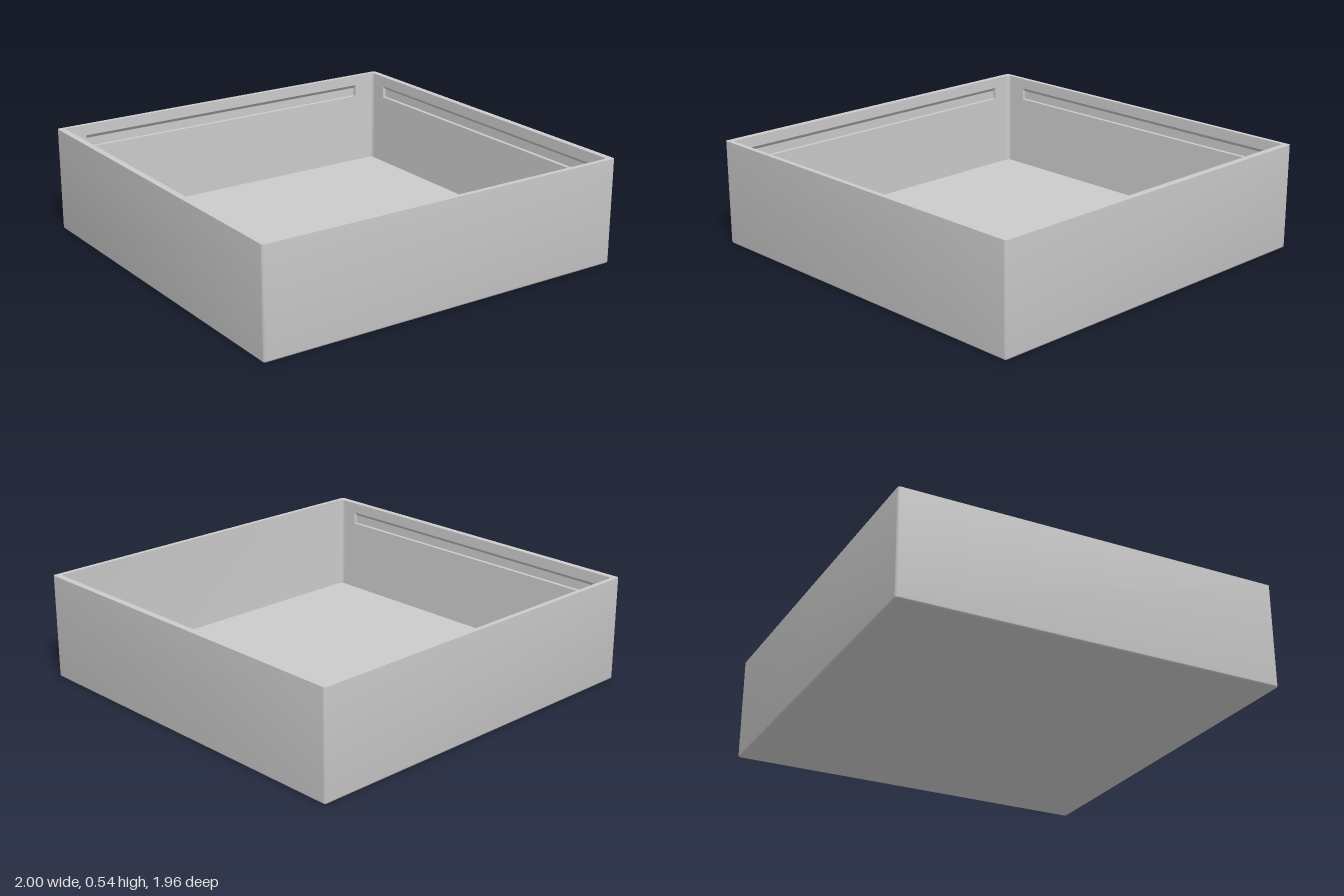
import * as THREE from 'three';
import { toCreasedNormals } from 'three/addons/utils/BufferGeometryUtils.js';

const HX = 1, HZ = 0.98, H = 0.54;          // outer half sizes and height
const IX = 0.967, IZ = 0.955, FLOOR = 0.035; // inner half sizes and floor level
const INNER_R = 0.02, OUTER_R = 0.012;
const STEPS = 4;                             // segments per rounded corner

// Rounded rectangle, counter-clockwise, at height z
function roundedRing(hx, hy, r, z) {
  const ring = [];
  [[1, 1], [-1, 1], [-1, -1], [1, -1]].forEach(([sx, sy], c) => {
    for (let i = 0; i <= STEPS; i++) {
      const a = (c + i / STEPS) * Math.PI / 2;
      ring.push([sx * (hx - r) + r * Math.cos(a), sy * (hy - r) + r * Math.sin(a), z]);
    }
  });
  return ring;
}

// Joins closed rings, with optional caps and skipped faces
function loft(rings, { startCap = false, endCap = false, skip = () => false } = {}) {
  const pos = [];
  const tri = (a, b, c) => pos.push(...a, ...b, ...c);
  const n = rings[0].length;
  for (let i = 0; i < rings.length - 1; i++) {
    for (let j = 0; j < n; j++) {
      if (skip(i, j)) continue;
      const k = (j + 1) % n, a = rings[i], b = rings[i + 1];
      tri(a[j], a[k], b[k]);
      tri(a[j], b[k], b[j]);
    }
  }
  const first = rings[0], last = rings[rings.length - 1];
  for (let j = 1; j < n - 1; j++) {
    if (startCap) tri(first[0], first[j + 1], first[j]);
    if (endCap) tri(last[0], last[j], last[j + 1]);
  }
  const g = new THREE.BufferGeometry();
  g.setAttribute('position', new THREE.Float32BufferAttribute(pos, 3));
  return toCreasedNormals(g, 0.6);
}

export function createModel() {
  const model = new THREE.Group();
  model.name = 'tray';
  const material = new THREE.MeshStandardMaterial({ color: 0xcccccc });
  const add = (parent, geometry, name) => {
    const mesh = new THREE.Mesh(geometry, material);
    mesh.name = name;
    parent.add(mesh);
    return mesh;
  };

  // Tray shell: softened bottom edge, outer walls, rim, inner walls and floor
  const rings = [];
  for (let i = 0; i <= 3; i++) {
    const a = i / 3 * Math.PI / 2, inset = 0.01 * (1 - Math.sin(a));
    rings.push(roundedRing(HX - inset, HZ - inset, OUTER_R - inset, 0.01 * (1 - Math.cos(a))));
  }
  rings.push(roundedRing(HX, HZ, OUTER_R, H));
  rings.push(roundedRing(IX, IZ, INNER_R, H));
  rings.push(roundedRing(IX, IZ, INNER_R, FLOOR));
  const innerWall = rings.length - 2;
  // The straight inner walls at the back and sides are left open for the grooved panels
  const skip = (i, j) => i === innerWall && j % (STEPS + 1) === STEPS
    && Math.floor(j / (STEPS + 1)) !== 2;
  const shell = add(model, loft(rings, { startCap: true, endCap: true, skip }), 'trayShell');
  shell.rotation.x = -Math.PI / 2;

  // Inner wall panels, each with a long groove below the rim
  const G = 0.85, G0 = 0.42, G1 = 0.485, DEPTH = 0.02;
  const rect = (x, y0, y1, z) => [[-x, y0, z], [x, y0, z], [x, y1, z], [-x, y1, z]];
  const outline = (x, y0, y1) => rect(x, y0, y1, 0).map(([u, v]) => new THREE.Vector2(u, v));

  function groovedPanel(name, halfWidth, x, z, turn) {
    const panel = new THREE.Group();
    panel.name = name;
    const shape = new THREE.Shape(outline(halfWidth, FLOOR, H));
    shape.holes.push(new THREE.Path(outline(G, G0, G1)));
    add(panel, new THREE.ShapeGeometry(shape), 'innerWall');
    // Groove with a sloping upper face
    add(panel, loft([rect(G, G0, G1, 0), rect(G, G0, G1 - DEPTH, -DEPTH)], { endCap: true }), 'groove');
    panel.position.set(x, 0, z);
    panel.rotation.y = turn;
    model.add(panel);
  }
  groovedPanel('backPanel', IX - INNER_R, 0, -IZ, 0);
  groovedPanel('rightPanel', IZ - INNER_R, -IX, 0, Math.PI / 2);
  groovedPanel('leftPanel', IZ - INNER_R, IX, 0, -Math.PI / 2);

  return model;
}
